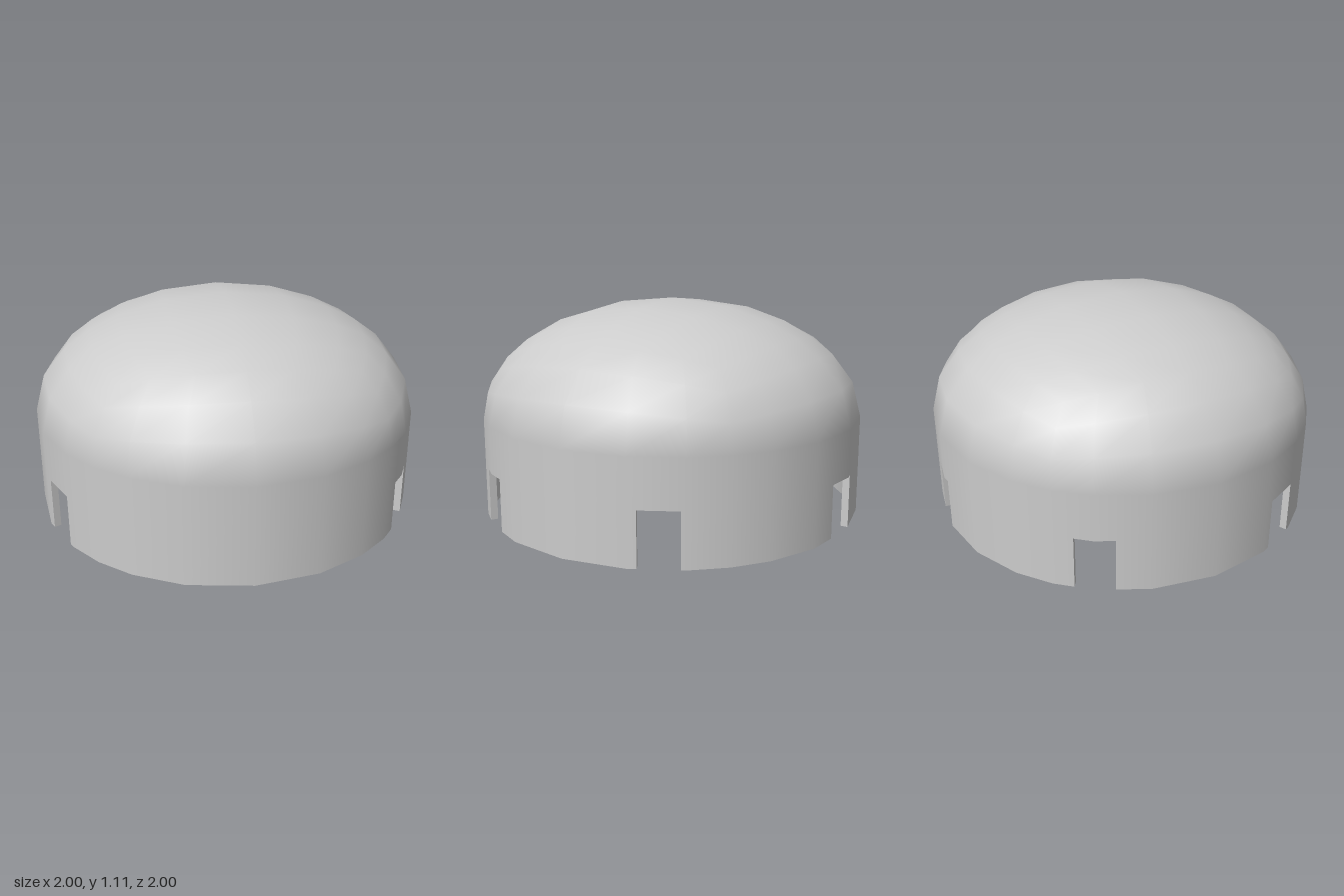
import * as THREE from 'three';

const RIM = 0.51, RISE = 0.6, WALL = 0.036, NOTCH_TOP = 0.27;
const TURN = 3.4;                              // whole facet grid is turned slightly
const NOTCHES = [60, 120, 240, 300, 360];      // degrees from the back; none at the front
const HALF_OUT = 5.6, HALF_IN = 5.8;           // half notch angle, outside and inside
const START = 30;                              // angle at which the wall loop begins
const rad = THREE.MathUtils.degToRad;
const material = new THREE.MeshStandardMaterial({ color: 0xcccccc });

// Facet corners of the 24-sided wall, matching a cube-sphere equator (runs past one full turn)
const corners = [];
for (let q = 0; q <= 5; q++) {
  for (let i = -3; i < 3; i++) {
    corners.push(q * 90 + THREE.MathUtils.radToDeg(Math.atan(i / 3)) - TURN);
  }
}

// Point on the straight-sided wall at an angle measured from the back
function wallPoint(angle, scale, y) {
  const next = corners.findIndex(c => c > angle + 1e-6);
  const lo = corners[next - 1], hi = corners[next];
  const r = scale * Math.cos(rad((hi - lo) / 2)) / Math.cos(rad(angle - (lo + hi) / 2));
  return new THREE.Vector3(r * Math.sin(rad(angle)), y, -r * Math.cos(rad(angle)));
}

// Mesh of quads; round = 1 or -1 gives smooth outward or inward normals
function quadMesh(name, quads, round = 0) {
  const pts = quads.flatMap(([a, b, c, d]) => [a, b, c, a, c, d]);
  const geo = new THREE.BufferGeometry().setFromPoints(pts);
  geo.computeVertexNormals();
  if (round) {
    pts.forEach((p, i) => {
      const n = new THREE.Vector3(p.x, 0, p.z).normalize().multiplyScalar(round);
      geo.attributes.normal.setXYZ(i, n.x, n.y, n.z);
    });
  }
  const mesh = new THREE.Mesh(geo, material);
  mesh.name = name;
  return mesh;
}

// Upper half of a cube-sphere, squashed to the dome height
function domeShell(name, radius, rise, inward) {
  const geo = new THREE.BoxGeometry(2, 2, 2, 6, 6, 6);
  const pos = geo.attributes.position, nor = geo.attributes.normal;
  const p = new THREE.Vector3(), n = new THREE.Vector3();
  for (let i = 0; i < pos.count; i++) {
    p.fromBufferAttribute(pos, i).normalize();
    n.set(p.x / radius, p.y / rise, p.z / radius).normalize().multiplyScalar(inward ? -1 : 1);
    pos.setXYZ(i, p.x * radius, p.y * rise, p.z * radius);
    nor.setXYZ(i, n.x, n.y, n.z);
  }
  const old = geo.index.array, kept = [];
  for (let i = 0; i < old.length; i += 3) {
    const [a, b, c] = [old[i], old[i + 1], old[i + 2]];
    if (pos.getY(a) + pos.getY(b) + pos.getY(c) < 0.01) continue;
    kept.push(...(inward ? [a, c, b] : [a, b, c]));
  }
  geo.setIndex(kept);
  geo.clearGroups();
  const mesh = new THREE.Mesh(geo, material);
  mesh.name = name;
  mesh.position.y = RIM;
  mesh.rotation.y = rad(TURN);
  return mesh;
}

function createWall() {
  // Stations around the wall: facet corners plus both edges of every notch
  const stations = corners
    .filter(c => c >= START && c < START + 360)
    .map(c => ({ out: c, in: c, edge: 0 }));
  for (const mid of NOTCHES) {
    for (const s of [-1, 1]) {
      stations.push({ out: mid + s * HALF_OUT, in: mid + s * HALF_IN, edge: s });
    }
  }
  stations.sort((a, b) => a.out - b.out);
  const first = stations[0].out + 360;
  stations.push({ out: first, in: first, edge: 0 });

  const O = (s, y) => wallPoint(s.out, 1, y);
  const I = (s, y) => wallPoint(s.in, 1 - WALL, y);
  const outside = [], inside = [], edges = [];
  let open = false;
  for (let i = 0; i < stations.length - 1; i++) {
    const s = stations[i], t = stations[i + 1];
    // Side faces of the notches
    if (s.edge) {
      open = s.edge < 0;
      const side = [I(s, 0), O(s, 0), O(s, NOTCH_TOP), I(s, NOTCH_TOP)];
      edges.push(open ? side : side.reverse());
    }
    const y = open ? NOTCH_TOP : 0;
    outside.push([O(t, y), O(s, y), O(s, RIM), O(t, RIM)]);
    inside.push([I(s, y), I(t, y), I(t, RIM), I(s, RIM)]);
    edges.push([O(s, y), O(t, y), I(t, y), I(s, y)]);
  }
  const wall = new THREE.Group();
  wall.name = 'notchedWall';
  wall.add(
    quadMesh('wallOutside', outside, 1),
    quadMesh('wallInside', inside, -1),
    quadMesh('rimAndNotchEdges', edges)
  );
  return wall;
}

export function createModel() {
  const model = new THREE.Group();
  model.name = 'domedCap';
  model.add(
    domeShell('domeOutside', 1, RISE, false),
    domeShell('domeInside', 1 - WALL, RISE - WALL, true),
    createWall()
  );
  return model;
}
